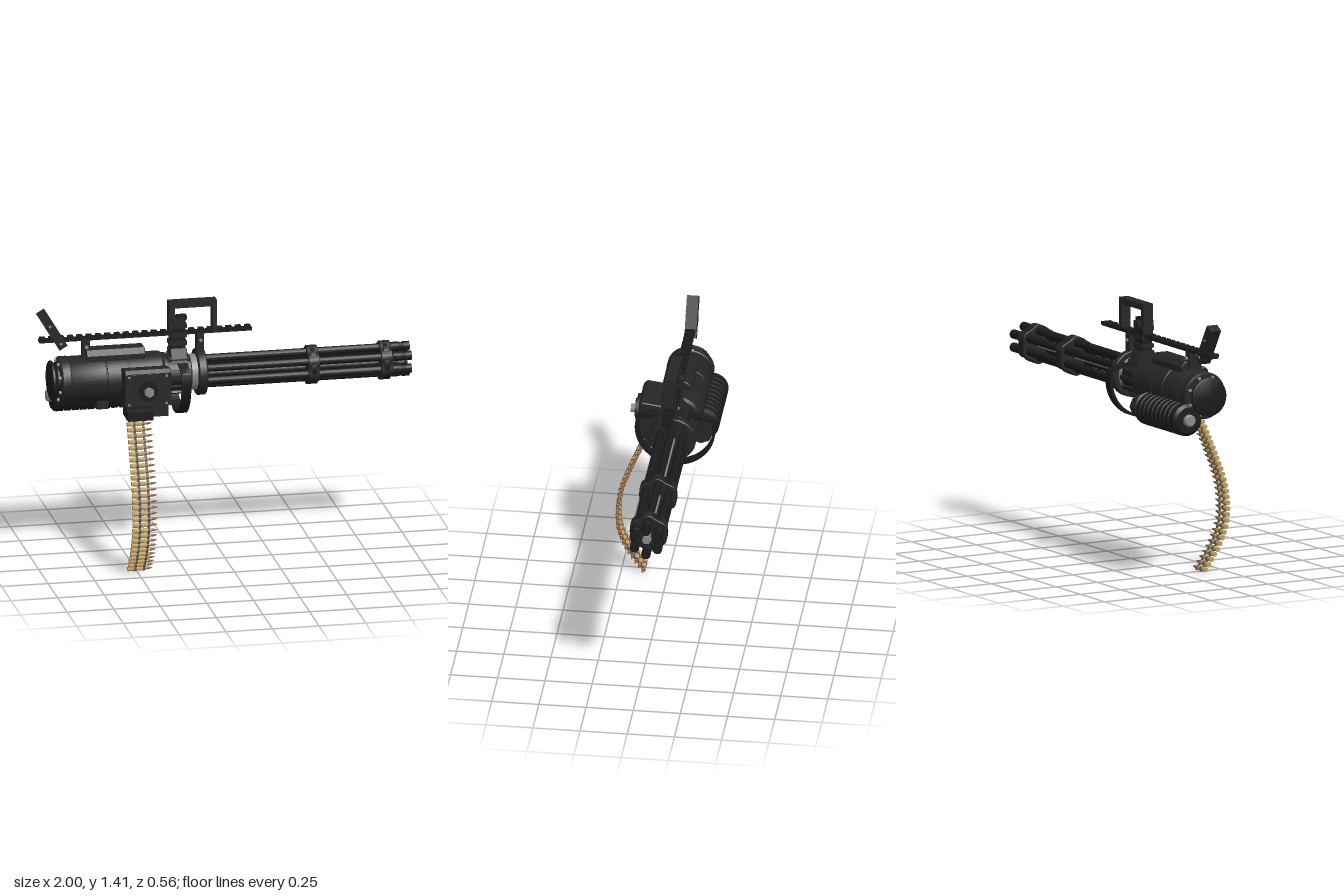
import * as THREE from 'three';
import { mergeGeometries, toCreasedNormals } from 'three/addons/utils/BufferGeometryUtils.js';

const mat = (color) => new THREE.MeshStandardMaterial({ color, side: THREE.DoubleSide });
const AY = 1.03, AZ = -0.066; // barrel axis

export function createModel() {
  const root = new THREE.Group();
  root.name = 'rotaryGun';
  const dark = mat(0x262627), black = mat(0x1b1b1c), steel = mat(0x8a8a8a);
  const brass = mat(0xc0a060), copper = mat(0x8f5a3a), linkMat = mat(0x55565a);

  const add = (name, geo, m, parent = root) => {
    const mesh = new THREE.Mesh(geo, m);
    mesh.name = name;
    parent.add(mesh);
    return mesh;
  };
  // turned part along x; points are [x, radius]
  const turned = (pts, y = AY, z = AZ, seg = 32) => {
    const g = new THREE.LatheGeometry(pts.map(([x, r]) => new THREE.Vector2(r, x)), seg);
    return toCreasedNormals(g.rotateZ(-Math.PI / 2), 0.6).translate(0, y, z);
  };
  const rod = (x0, x1, r, y = AY, z = AZ, seg = 32) =>
    turned([[x0, 0], [x0, r], [x1, r], [x1, 0]], y, z, seg);
  // box from its limits
  const box = (x0, x1, y0, y1, z0, z1) => new THREE.BoxGeometry(x1 - x0, y1 - y0, z1 - z0)
    .translate((x0 + x1) / 2, (y0 + y1) / 2, (z0 + z1) / 2);
  // box centred on the barrel plane
  const midBox = (x0, x1, y0, y1, w) => box(x0, x1, y0, y1, AZ - w / 2, AZ + w / 2);
  // section drawn in (-z, y), extruded along x
  const alongX = (shape, x0, x1, bevel = 0) => toCreasedNormals(new THREE.ExtrudeGeometry(shape, {
    depth: x1 - x0 - 2 * bevel, bevelEnabled: bevel > 0, bevelSize: bevel, bevelThickness: bevel,
    bevelSegments: 1, curveSegments: 24 }).rotateY(Math.PI / 2).translate(x0 + bevel, 0, 0), 0.6);
  const poly = (pts) => new THREE.Shape(pts.map(([x, y]) => new THREE.Vector2(x, y)));
  // disc facing +z
  const knob = (r, x, y, z0, z1, seg = 32) =>
    new THREE.CylinderGeometry(r, r, z1 - z0, seg).rotateX(Math.PI / 2).translate(x, y, (z0 + z1) / 2);

  // barrel cluster
  const barrels = new THREE.Group();
  barrels.name = 'barrels';
  root.add(barrels);
  for (let i = 0; i < 6; i++) {
    const a = Math.PI / 2 + i * Math.PI / 3;
    add('barrel', turned([[-0.16, 0], [-0.16, 0.021], [0.895, 0.021], [0.9, 0.025], [0.945, 0.025],
      [0.95, 0.022], [0.96, 0.022], [0.965, 0.025], [1, 0.025], [1, 0.012], [0.95, 0.012], [0.95, 0]],
    AY + 0.07 * Math.sin(a), AZ + 0.07 * Math.cos(a), 18), black, barrels);
  }
  add('centreShaft', rod(-0.2, 0.94, 0.016, AY, AZ, 16), steel, barrels);
  add('centreNut', rod(0.94, 0.97, 0.024, AY, AZ, 6), steel, barrels);

  // lobed clamps round the barrels
  const lobes = [];
  for (let i = 0; i < 72; i++) {
    const a = i * Math.PI / 36, r = 0.097 - 0.006 * Math.cos(6 * a);
    lobes.push([-AZ + r * Math.cos(a), AY + r * Math.sin(a)]);
  }
  for (const x of [0.445, 0.835]) {
    add('barrelClamp', alongX(poly(lobes), x, x + 0.06, 0.003), dark, barrels);
    add('clampBand', rod(x + 0.018, x + 0.042, 0.101), black, barrels);
  }

  // receiver body
  add('receiver', turned([[-0.885, 0], [-0.885, 0.118], [-0.875, 0.125], [-0.835, 0.125], [-0.83, 0.12],
    [-0.825, 0.123], [-0.645, 0.123], [-0.642, 0.119], [-0.638, 0.119], [-0.635, 0.123], [-0.53, 0.123],
    [-0.53, 0.119], [-0.52, 0.119], [-0.52, 0.123], [-0.34, 0.123], [-0.325, 0.112], [-0.31, 0.112],
    [-0.31, 0]], AY, AZ, 40), dark);
  add('rearCap', turned([[-0.925, 0], [-0.93, 0.095], [-0.925, 0.104], [-0.915, 0.104], [-0.895, 0.085],
    [-0.88, 0.085], [-0.88, 0]]), black);
  for (let i = 0; i < 8; i++) {
    const a = (i + 0.5) * Math.PI / 4;
    add('rearBolt', rod(-0.895, -0.88, 0.009, AY + 0.105 * Math.sin(a), AZ + 0.105 * Math.cos(a), 6), steel);
  }
  add('frontHousing', turned([[-0.31, 0], [-0.31, 0.1], [-0.185, 0.1], [-0.175, 0.09], [-0.175, 0]]), black);
  for (let i = 0; i < 12; i++) {
    const rib = new THREE.BoxGeometry(0.11, 0.014, 0.024).translate(-0.245, 0.104, 0)
      .rotateX(i * Math.PI / 6).translate(0, AY, AZ);
    add('housingRib', rib, dark);
  }
  add('rotorRing', rod(-0.18, -0.14, 0.095), steel);
  add('frontPlate', turned([[-0.147, 0], [-0.147, 0.119], [-0.142, 0.124], [-0.106, 0.124], [-0.1, 0.119],
    [-0.1, 0]], AY, AZ, 40), dark);
  add('topCover', alongX(poly([[0.01, 1.12], [0.122, 1.12], [0.122, 1.165], [0.1, 1.19], [0.032, 1.19],
    [0.01, 1.165]]), -0.74, -0.425, 0.004), dark);

  // drive motor with cooling ribs
  const MY = 0.912, MZ = -0.178;
  const ribs = [[-0.9, 0], [-0.9, 0.07], [-0.885, 0.086]];
  for (let i = 0; i < 9; i++) {
    const x = -0.87 + i * 0.042;
    ribs.push([x, 0.087], [x + 0.028, 0.087], [x + 0.031, 0.079], [x + 0.039, 0.079]);
  }
  ribs.push([-0.488, 0.087], [-0.48, 0.07], [-0.48, 0]);
  add('motor', turned(ribs, MY, MZ), black);
  add('motorNose', rod(-0.49, -0.4, 0.066, MY, MZ, 8), dark);
  add('motorShaft', turned([[-0.925, 0], [-0.925, 0.026], [-0.918, 0.032], [-0.89, 0.032], [-0.89, 0]],
    MY, MZ, 16), steel);
  for (const x of [-0.68, -0.44]) add('motorBracket', box(x, x + 0.06, 0.865, 0.93, -0.15, -0.03), dark);

  // ammunition feeder on the front side
  const FX = -0.443, FY = 1.01;
  add('feederHousing', alongX(poly([[-0.137, 0.925], [-0.137, 1.095], [-0.12, 1.112], [-0.03, 1.1],
    [0.03, 1.08], [0.03, 0.92], [-0.03, 0.9], [-0.06, 0.9]]), -0.565, -0.315, 0.005), dark);
  add('feederPlate', box(-0.555, -0.325, 0.925, 1.1, 0.125, 0.141), black);
  add('feederDisc', knob(0.08, FX, FY, 0.13, 0.16), dark);
  add('feederHub', knob(0.055, FX, FY, 0.15, 0.17), black);
  add('feederNut', knob(0.026, FX, FY, 0.165, 0.195, 6), steel);
  for (const sx of [-1, 1]) for (const sy of [-1, 1])
    add('feederBolt', knob(0.007, FX + sx * 0.1, FY + sy * 0.075, 0.138, 0.147, 6), steel);
  add('feedChute', box(-0.55, -0.415, 0.845, 0.92, 0.017, 0.15), black);
  add('feedChuteLip', box(-0.555, -0.41, 0.895, 0.915, 0.012, 0.155), dark);
  add('ejectChute', box(-0.42, -0.325, 0.852, 0.92, -0.02, 0.11), dark);

  // hanging ammunition belt
  const path = new THREE.CatmullRomCurve3([[0.104, 0.85], [0.194, 0.644], [0.255, 0.474], [0.27, 0.353],
    [0.262, 0.26], [0.22, 0.153], [0.134, 0.028]].map(([z, y]) => new THREE.Vector3(0, y, z)));
  const cases = [], tips = [], links = [];
  const N = 29;
  for (let i = 0; i < N; i++) {
    const p = path.getPointAt(i / (N - 1)), t = path.getTangentAt(i / (N - 1));
    cases.push(turned([[-0.55, 0], [-0.55, 0.013], [-0.546, 0.013], [-0.544, 0.011], [-0.541, 0.013],
      [-0.475, 0.012], [-0.463, 0.008], [-0.45, 0.008]], p.y, p.z, 12));
    tips.push(turned([[-0.452, 0.0075], [-0.44, 0.007], [-0.425, 0.004], [-0.414, 0]], p.y, p.z, 12));
    for (const x of [-0.512, -0.463]) {
      links.push(rod(x - 0.006, x + 0.006, x < -0.5 ? 0.0145 : 0.0105, p.y, p.z, 12));
      links.push(new THREE.BoxGeometry(0.012, 0.032, 0.008).toNonIndexed()
        .rotateX(Math.atan2(t.z, t.y)).translate(x, p.y, p.z));
    }
  }
  add('beltCases', mergeGeometries(cases), brass);
  add('beltBullets', mergeGeometries(tips), copper);
  add('beltLinks', mergeGeometries(links), linkMat);

  // curved hand guard below the housing
  const a0 = 14 * Math.PI / 180;
  const guard = new THREE.Shape();
  guard.absarc(-AZ, AY, 0.213, a0, Math.PI - a0, true);
  guard.absarc(-AZ, AY, 0.198, Math.PI - a0, a0, false);
  add('handGuard', alongX(guard, -0.26, -0.21), black);
  for (const s of [-1, 1]) {
    const arm = poly([[0.08, 0.075], [0.113, 0.086], [0.2, 0.058], [0.207, 0.05], [0.198, 0.045],
      [0.11, 0.071]].map(([u, v]) => [-AZ + s * u, AY + v]));
    add('guardArm', alongX(arm, -0.26, -0.21), black);
  }

  // top rail and its posts
  add('rail', midBox(-0.985, 0.155, 1.244, 1.258, 0.042), black);
  for (let i = 0; i < 23; i++) {
    const x = -0.98 + i * 0.05;
    add('railTooth', midBox(x, x + 0.03, 1.252, 1.267, 0.054), black);
  }
  add('rearPost', midBox(-0.755, -0.715, 1.13, 1.25, 0.045), dark);
  add('frontPost', midBox(-0.143, -0.104, 1.12, 1.25, 0.055), dark);
  for (const [x, y] of [[-0.735, 1.21], [-0.123, 1.21]])
    add('postBolt', knob(0.009, x, y, AZ - 0.034, AZ + 0.034, 12), steel);

  // carry handle frame
  add('handleTop', midBox(-0.292, -0.035, 1.393, 1.427, 0.056), dark);
  add('handleRearPost', midBox(-0.292, -0.262, 1.25, 1.4, 0.056), dark);
  add('handleFrontPost', midBox(-0.06, -0.035, 1.25, 1.4, 0.056), dark);

  // upright grip bracket under the handle
  add('uprightBracket', midBox(-0.283, -0.205, 1.1, 1.325, 0.058), black);
  for (const y of [1.145, 1.19, 1.235, 1.285])
    add('bracketBand', midBox(-0.29, -0.198, y, y + 0.022, 0.07), dark);
  add('bracketClamp', midBox(-0.27, -0.215, 1.305, 1.332, 0.092), dark);
  add('bracketKnob', midBox(-0.248, -0.195, 1.325, 1.347, 0.04), black);
  add('bracketBase', alongX(poly([[0.0, 1.11], [0.132, 1.11], [0.105, 1.175], [0.027, 1.175]]),
    -0.285, -0.203), dark);

  // tilted rear plate
  const rear = new THREE.Group();
  rear.name = 'rearPlate';
  rear.position.set(-0.916, 1.31, AZ);
  rear.rotation.z = 0.54;
  root.add(rear);
  add('plateBody', new THREE.BoxGeometry(0.05, 0.225, 0.062), dark, rear);
  add('platePivot', knob(0.008, 0, 0.03, -0.034, 0.034, 12), steel, rear);
  add('platePivot', knob(0.008, 0, -0.085, -0.034, 0.034, 12), steel, rear);

  return root;
}
